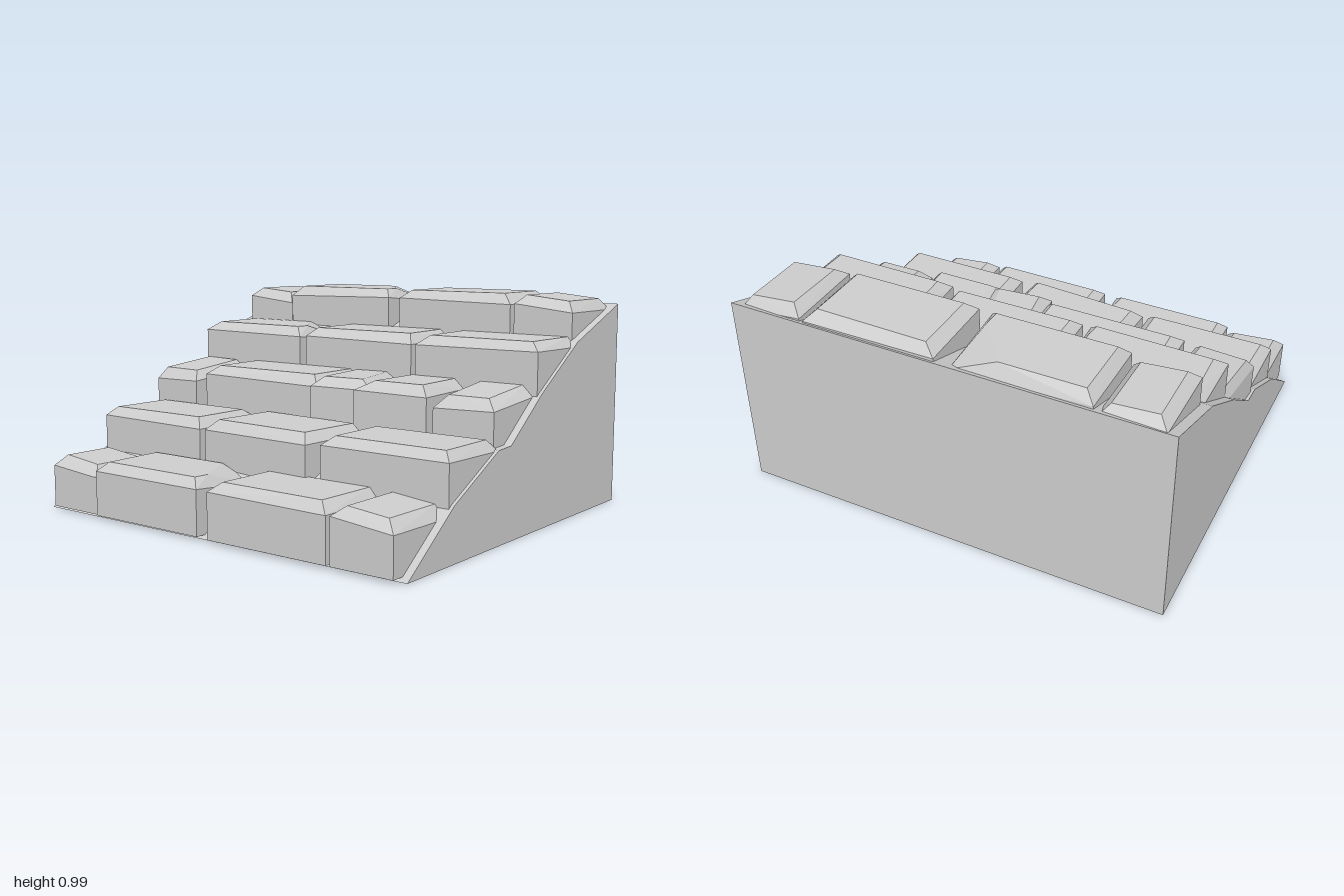
import * as THREE from 'three';
import { ConvexGeometry } from 'three/addons/geometries/ConvexGeometry.js';

const stone = new THREE.MeshStandardMaterial({ color: 0xcccccc });
stone.name = 'greyStone';

// Small repeatable variation for the hand-cut stones
let seed = 7;
const wobble = (amount) => {
  seed = (seed * 16807) % 2147483647;
  return (seed / 2147483647 - 0.5) * 2 * amount;
};

// One chamfered stone. Options: chamfer widths at each end, the drop of the top
// toward +z (dz) or -x (dx), a chipped +x/+z corner, and a slight turn.
function block(name, [x0, x1, z0, z1], base, top, o = {}) {
  const { left = 0.045, right = 0.008, back = 0.045, front = 0.045, dz = 0, dx = 0, chip = 0, turn = 0 } = o;
  const cx = (x0 + x1) / 2, cz = (z0 + z1) / 2;
  const points = [];
  const add = (x, y, z) => points.push(new THREE.Vector3(
    x - turn * (z - cz), y, z + turn * (x - cx)));
  const topY = (x, z) => top - dz * (z - z0) / (z1 - z0) - dx * (x1 - x) / (x1 - x0);

  for (const [x, z, i, j] of [
    [x0, z0, left, back], [x1, z0, -right, back],
    [x1, z1, -right, -front], [x0, z1, left, -front],
  ]) {
    const chipped = chip > 0 && x === x1 && z === z1;
    add(x, base, z);
    add(x, topY(x, z) - (chipped ? 0.07 : 0.045) + wobble(0.006), z);
    const tx = x + i + wobble(0.005), tz = z + j + wobble(0.008);
    if (chipped) {
      add(tx, topY(tx, tz - chip), tz - chip);
      add(tx - 0.22, topY(tx - 0.22, tz), tz);
    } else {
      add(tx, topY(tx, tz), tz);
    }
  }
  const mesh = new THREE.Mesh(new ConvexGeometry(points), stone);
  mesh.name = name;
  return mesh;
}

// Rows of stones from the lowest step to the highest
const steps = [
  { base: 0.015, top: 0.258, stones: [
    [[-0.87, -0.55, -0.96, -0.67], { dz: 0.03, right: 0.03 }],
    [[-0.88, -0.54, -0.66, -0.04], { chip: 0.12 }],
    [[-0.89, -0.54, 0.03, 0.65]],
    [[-0.89, -0.54, 0.67, 0.965], { dz: 0.03 }],
  ] },
  { base: 0.18, top: 0.44, stones: [
    [[-0.535, -0.14, -0.975, -0.35], { right: 0.055 }],
    [[-0.55, -0.185, -0.31, 0.3], { turn: 0.06 }],
    [[-0.55, -0.18, 0.355, 0.985], { right: 0.03 }],
  ] },
  { base: 0.37, top: 0.628, stones: [
    [[-0.18, 0.155, -0.98, -0.7], { dx: 0.035, back: 0.03, turn: 0.05 }],
    [[-0.165, 0.17, -0.66, 0.03]],
    [[-0.18, 0.17, 0, 0.31], { chip: 0.03, front: 0.07, turn: -0.12 }],
    [[-0.18, 0.17, 0.25, 0.625], { back: 0.09, turn: -0.03 }],
    [[-0.185, 0.16, 0.67, 0.965], { dx: 0.035 }],
  ] },
  { base: 0.55, top: 0.81, stones: [
    [[0.16, 0.495, -0.96, -0.335], { chip: 0.16 }],
    [[0.165, 0.5, -0.3, 0.32]],
    [[0.14, 0.495, 0.36, 0.985]],
  ] },
  { base: 0.76, top: 0.992, stones: [
    [[0.505, 0.885, -0.955, -0.67], { top: 0.978, dz: 0.025, right: 0.05 }],
    [[0.49, 0.87, -0.655, -0.035], { chip: 0.16, right: 0.04 }],
    [[0.49, 0.875, 0.03, 0.65], { right: 0.04 }],
    [[0.49, 0.87, 0.67, 0.965], { dz: 0.03, right: 0.04 }],
  ] },
];

export function createModel() {
  const model = new THREE.Group();
  model.name = 'stoneStairs';

  // Sloping wedge under the steps
  const profile = new THREE.Shape([
    [-0.85, 0], [0.89, 0], [0.89, 0.94], [0.48, 0.79], [0.16, 0.595],
    [-0.1, 0.405], [-0.2, 0.4], [-0.53, 0.235],
  ].map(([x, y]) => new THREE.Vector2(x, y)));
  const wedge = new THREE.Mesh(
    new THREE.ExtrudeGeometry(profile, { depth: 2, bevelEnabled: false }).translate(0, 0, -1), stone);
  wedge.name = 'wedgeBase';
  model.add(wedge);

  // Stone steps
  steps.forEach(({ base, top, stones }, i) => {
    const row = new THREE.Group();
    row.name = `step${i + 1}`;
    stones.forEach(([bounds, options = {}], j) =>
      row.add(block(`stone${j + 1}`, bounds, base, options.top ?? top, options)));
    model.add(row);
  });
  return model;
}
